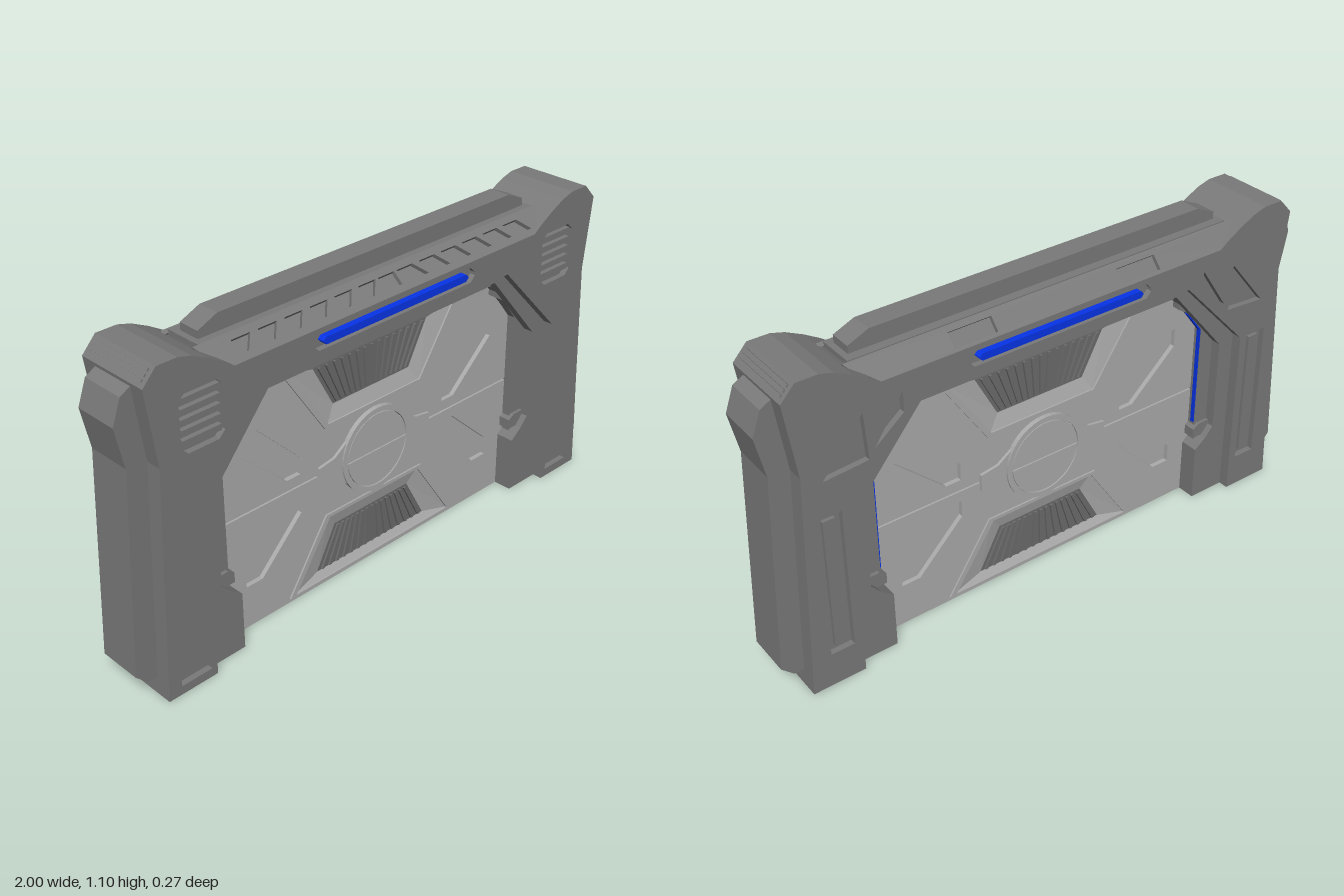
import * as THREE from 'three';

const material = (color) => new THREE.MeshStandardMaterial({ color, flatShading: true });
const frameGrey = material(0x7a7a7a);
const doorGrey = material(0xacacac);
const grilleGrey = material(0x6c6c6c);
const blue = material(0x0634e8);

const mirrorPts = (half) => [...half, ...half.map(([x, y]) => [-x, y]).reverse()];
const flip = (pts) => pts.map(([x, y]) => [-x, y]);
const rect = (x0, y0, x1, y1) => [[x0, y0], [x1, y0], [x1, y1], [x0, y1]];
const bevelRect = (x0, y0, x1, y1, c) => [[x0 + c, y0], [x1 - c, y0], [x1, y0 + c], [x1, y1 - c],
  [x1 - c, y1], [x0 + c, y1], [x0, y1 - c], [x0, y0 + c]];

// Flat plate from an outline with holes, between depths z0 and z1
function plate(parent, name, pts, z0, z1, holes = [], mat = frameGrey) {
  const toV = (p) => p.map(([x, y]) => new THREE.Vector2(x, y));
  const shape = new THREE.Shape(toV(pts));
  holes.forEach((h) => shape.holes.push(new THREE.Path(toV(h))));
  const geo = new THREE.ExtrudeGeometry(shape, { depth: z1 - z0, bevelEnabled: false });
  geo.translate(0, 0, z0);
  const mesh = new THREE.Mesh(geo, mat);
  mesh.name = name;
  parent.add(mesh);
  return mesh;
}

// Bar along x from a [z, y] cross-section
function bar(parent, name, section, halfLength) {
  plate(parent, name, section.map(([z, y]) => [-z, y]), -halfLength, halfLength).rotation.y = Math.PI / 2;
}

// Sloping band between two outlines of equal length
function funnel(parent, name, outer, zOuter, inner, zInner) {
  const pos = [];
  outer.forEach((a, i) => {
    const j = (i + 1) % outer.length;
    const [A, B] = [[...a, zOuter], [...outer[j], zOuter]];
    const [C, D] = [[...inner[j], zInner], [...inner[i], zInner]];
    pos.push(...A, ...B, ...C, ...A, ...C, ...D);
  });
  const geo = new THREE.BufferGeometry();
  geo.setAttribute('position', new THREE.Float32BufferAttribute(pos, 3));
  geo.computeVertexNormals();
  const mesh = new THREE.Mesh(geo, doorGrey);
  mesh.name = name;
  parent.add(mesh);
}

// Plate lying on the sloping shoulder of the beam, facing +z, z = depth at the top edge
function shoulder(parent, name, zTop, makeHoles) {
  const rise = 0.06, run = 0.13 - zTop, len = Math.hypot(rise, run), t = 0.014;
  const outline = [[-0.65, 0], [0.65, 0], [0.71, len], [-0.71, len]];
  const mesh = plate(parent, name, outline, 0, t, makeHoles(len));
  mesh.rotation.x = -Math.atan2(run, rise);
  mesh.position.set(0, 0.985 - (t * run) / len, 0.13 - (t * rise) / len);
}

// One quarter of the door: upper half, one face, about the door centre
function doorQuarter() {
  const g = new THREE.Group();
  g.name = 'doorPanel';
  const outer = [[-0.2, 0.17], [0.2, 0.17], [0.35, 0.395], [-0.35, 0.395]];
  const inner = [[-0.165, 0.22], [0.165, 0.22], [0.245, 0.37], [-0.245, 0.37]];
  const slot = [[0.315, 0.04], [0.37, 0.04], [0.545, 0.2], [0.545, 0.265], [0.48, 0.265], [0.315, 0.1]];
  plate(g, 'doorSkin', rect(-0.66, 0.003, 0.66, 0.415), 0.014, 0.03, [outer, slot, flip(slot)], doorGrey);
  funnel(g, 'ventFunnel', outer, 0.03, inner, 0.018);
  const rim = [[-0.215, 0.158], [0.215, 0.158], [0.375, 0.4], [-0.375, 0.4]];
  plate(g, 'ventRim', rim, 0.03, 0.036, [outer], doorGrey);
  plate(g, 'ventGrille', inner, 0.014, 0.0165, [], grilleGrey);
  for (let i = 0; i < 15; i++) {
    const t = (i - 7) / 7.4, a = t * 0.16, b = t * 0.235, w = 0.005;
    const slat = [[a - w, 0.228], [a + w, 0.228], [b + w, 0.366], [b - w, 0.366]];
    plate(g, 'ventSlat', slat, 0.014, 0.024, [], grilleGrey);
  }
  return g;
}

// Round lock with side tabs, for one face of the door
function lock() {
  const g = new THREE.Group();
  g.name = 'lock';
  const tab = [[0.245, -0.03], [0.245, 0.03], [0.18, 0.04], [0.13, 0.075],
    [-0.13, 0.075], [-0.18, 0.04], [-0.245, 0.03], [-0.245, -0.03],
    [-0.18, -0.04], [-0.13, -0.075], [0.13, -0.075], [0.18, -0.04]];
  plate(g, 'lockTabs', tab, 0.014, 0.04, [], doorGrey);
  const circle = (r) => Array.from({ length: 40 }, (_, i) =>
    [r * Math.cos(i * Math.PI / 20), r * Math.sin(i * Math.PI / 20)]);
  plate(g, 'lockRing', circle(0.15), 0.014, 0.046, [circle(0.132)], doorGrey);
  for (const s of [1, -1]) {
    const arc = Array.from({ length: 21 }, (_, i) => {
      const a = 0.03 + (Math.PI - 0.06) * i / 20;
      return [0.128 * Math.cos(a), s * 0.128 * Math.sin(a)];
    });
    plate(g, 'lockDisc', arc, 0.014, 0.045, [], doorGrey);
  }
  return g;
}

// Skin details shared by the front and the back: light recess and light bar
const lightRecess = bevelRect(-0.34, 0.915, 0.34, 0.965, 0.02);
function lightBar(parent) {
  plate(parent, 'lightBar', bevelRect(-0.305, 0.928, 0.305, 0.952, 0.01), 0.105, 0.134, [], blue);
}

export function createModel() {
  const model = new THREE.Group();
  model.name = 'gate';
  const front = new THREE.Group(), back = new THREE.Group();
  front.name = 'frontFace';
  back.name = 'backFace';
  back.rotation.y = Math.PI;
  model.add(front, back);

  // Arched outer frame: core with a recessed skin on each face
  const outerHalf = [[0.93, 0], [0.895, 0.78], [0.927, 1.03], [0.88, 1.08], [0.81, 1.08],
    [0.765, 1.067], [0.71, 1.04], [0.66, 1.01], [0.625, 0.985]];
  const archHalf = [[0.5, 0.885], [0.75, 0.62], [0.75, 0]];
  const arch = (out, inn) => [...out, ...flip(out).reverse(), ...flip(inn).reverse(), ...inn];
  const frame = arch(outerHalf, archHalf);
  plate(model, 'frameCore', frame, -0.11, 0.11);

  const panel = rect(0.77, 0.03, 0.882, 0.64);
  const vent = bevelRect(0.67, 0.785, 0.82, 0.97, 0.022);
  plate(front, 'frontSkin', frame, 0.11, 0.13, [panel, flip(panel), vent, flip(vent), lightRecess]);
  const slotPanel = rect(0.78, 0.12, 0.86, 0.62);
  const tri1 = [[0.83, 0.74], [0.69, 0.91], [0.68, 0.75]];
  const tri2 = [[0.66, 0.78], [0.56, 0.93], [0.56, 0.86]];
  plate(back, 'backSkin', frame, 0.11, 0.13,
    [lightRecess, ...[slotPanel, tri1, tri2].flatMap((h) => [h, flip(h)])]);
  lightBar(front);
  lightBar(back);

  for (const s of [1, -1]) {
    const side = (pts) => (s > 0 ? pts : flip(pts));
    // Corner vent slats and pillar inserts
    for (let i = 0; i < 5; i++) {
      const y = 0.806 + i * 0.032;
      plate(front, 'cornerVentSlat', side(rect(0.678, y, 0.812, y + 0.02)), 0.11, 0.126);
    }
    plate(back, 'pillarInsert', side(rect(0.8, 0.14, 0.84, 0.6)), 0.11, 0.122);

    // Side bumper
    plate(model, 'sideBumper', side([[0.88, 0.06], [0.96, 0.06], [1, 0.1], [0.963, 0.785],
      [0.99, 0.92], [0.96, 1.0], [0.915, 1.025], [0.86, 0.9]]), -0.075, 0.076);

    // Ribs on the shoulder corner
    for (let i = 0; i < 3; i++) {
      const rib = new THREE.Mesh(new THREE.BoxGeometry(0.008, 0.009, 0.23), frameGrey);
      rib.name = 'cornerRib';
      rib.position.set(s * (0.914 - i * 0.0108), 1.044 + i * 0.012, 0);
      rib.rotation.z = s * 0.73;
      model.add(rib);
    }

    // Latch block above the foot
    plate(model, 'latchBlock', side([[0.69, 0.235], [0.622, 0.235], [0.622, 0.27], [0.645, 0.285],
      [0.69, 0.285]]), -0.072, 0.072);
  }

  // Light strip on the inward side of each rear jamb
  const strip = [[0.642, 0.29], [0.642, 0.66], [0.577, 0.742], [0.571, 0.737], [0.631, 0.657], [0.631, 0.29]];
  for (const pts of [strip, flip(strip)]) plate(back, 'jambLight', pts, 0.044, 0.058, [], blue);

  // Stepped inner frame with feet, then a thinner lip around the door
  const stepOut = [[0.76, 0], [0.76, 0.63], [0.5, 0.9]];
  const stepIn = [[0.48, 0.85], [0.69, 0.6], [0.69, 0.27], [0.66, 0.235], [0.615, 0.2], [0.615, 0]];
  plate(model, 'innerFrame', arch(stepOut, stepIn), -0.095, 0.095);
  const lipOut = [[0.7, 0.22], [0.7, 0.61], [0.49, 0.86]];
  const lipIn = [[0.5, 0.82], [0.53, 0.81], [0.53, 0.77], [0.57, 0.745], [0.635, 0.66], [0.635, 0.22]];
  plate(model, 'doorLip', arch(lipOut, lipIn), -0.06, 0.06);

  // Beam: sloping underside, core, sloping shoulders and top rail
  bar(model, 'beamSoffit', [[-0.128, 0.892], [-0.095, 0.865], [-0.094, 0.85], [-0.045, 0.822],
    [0.045, 0.822], [0.094, 0.85], [0.095, 0.865], [0.128, 0.892]], 0.495);
  bar(model, 'beamCore', [[-0.112, 0.97], [-0.112, 0.98], [-0.07, 1.033], [-0.07, 1.045],
    [0.06, 1.045], [0.06, 1.026], [0.112, 0.98], [0.112, 0.97]], 0.69);
  shoulder(front, 'frontShoulder', 0.06, (len) => {
    const holes = [];
    for (let i = -6; i <= 6; i++) {
      const x = i * 0.096, k = -Math.sign(i) * 0.018, w = 0.034;
      const [a, b] = [len * 0.25, len * 0.75];
      holes.push([[x - w - k, a], [x + w - k, a], [x + w + k, b], [x - w + k, b]]);
    }
    return holes;
  });
  shoulder(back, 'backShoulder', 0.075, (len) =>
    [1, -1].map((s) => rect(s * 0.305 - 0.075, len * 0.15, s * 0.305 + 0.075, len * 0.75)));
  plate(model, 'topRail', mirrorPts([[0.67, 1.03], [0.67, 1.07], [0.6, 1.1]]), -0.04, 0.035);

  // Door: core, four mirrored quarters and a lock on each face
  const door = new THREE.Group();
  door.name = 'door';
  door.position.y = 0.415;
  plate(door, 'doorCore', rect(-0.66, -0.415, 0.66, 0.43), -0.014, 0.014, [], doorGrey);
  for (const ry of [0, Math.PI]) {
    for (const rz of [0, Math.PI]) {
      const quarter = doorQuarter();
      quarter.rotation.set(0, ry, rz);
      door.add(quarter);
    }
    const l = lock();
    l.rotation.y = ry;
    door.add(l);
  }
  model.add(door);
  return model;
}
